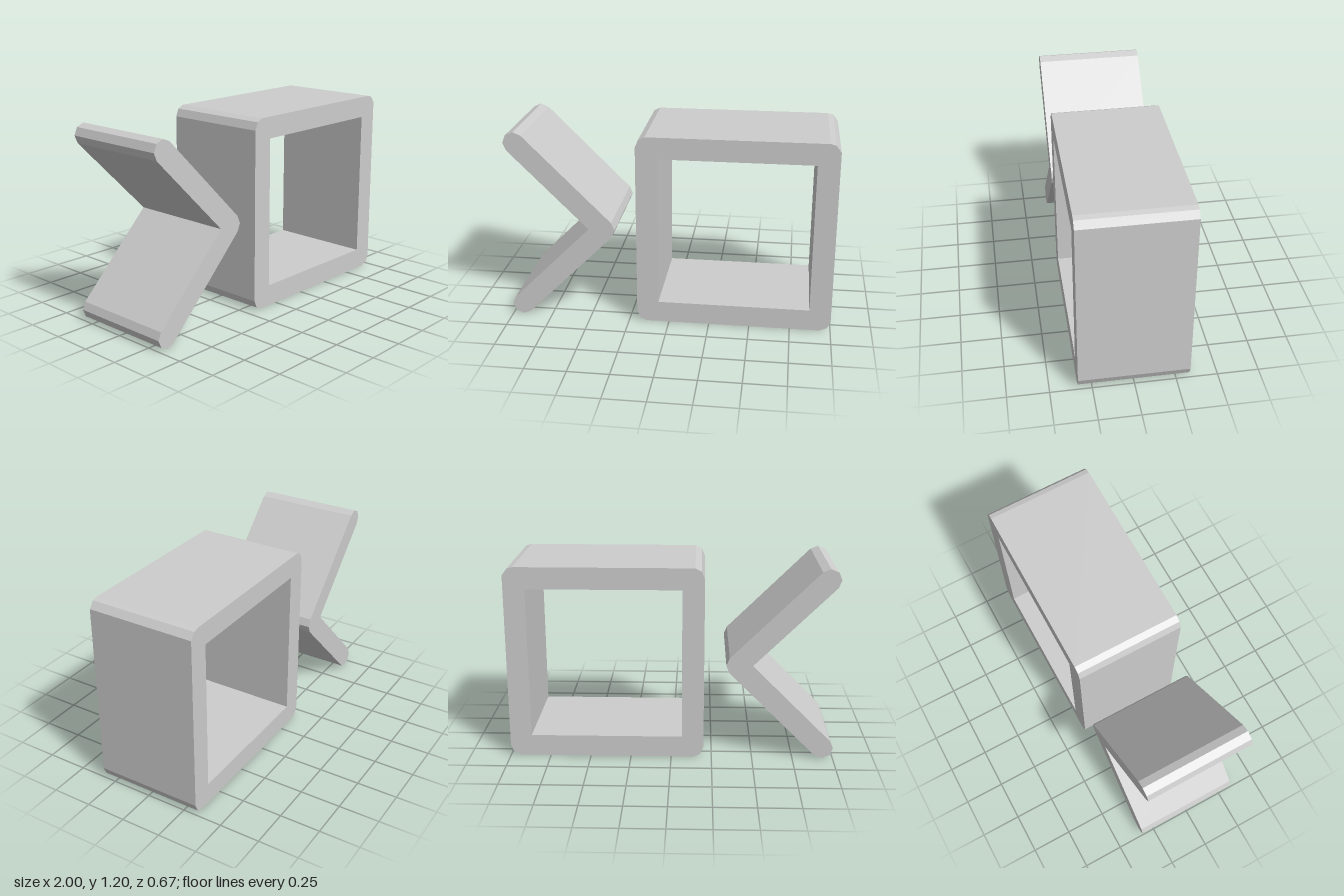
import * as THREE from 'three';

const R = 1 / 15;      // half the bar thickness, also the corner radius
const DEPTH = 2 / 3;

// Points on a corner circle at the given angles in degrees
function corner(cx, cy, angles) {
  return angles.map((deg) => {
    const a = THREE.MathUtils.degToRad(deg);
    return new THREE.Vector2(cx + R * Math.cos(a), cy + R * Math.sin(a));
  });
}

function extrude(name, shape, material) {
  const geometry = new THREE.ExtrudeGeometry(shape, { depth: DEPTH, bevelEnabled: false });
  geometry.translate(0, 0, -DEPTH / 2);
  const mesh = new THREE.Mesh(geometry, material);
  mesh.name = name;
  return mesh;
}

export function createModel() {
  const group = new THREE.Group();
  group.name = 'chevronAndSquare';
  const grey = new THREE.MeshStandardMaterial({ color: 0xcccccc });
  grey.name = 'light grey';

  const low = R, high = 1.2 - R;

  // Chevron: two diagonal bars with faceted round ends, meeting at the right
  const chevron = new THREE.Shape([
    ...corner(-0.4, 0.6, [-45, 0, 45]),
    ...corner(-1 + R, high, [45, 90, 135, 180, 225]),
    new THREE.Vector2(-0.4 - R * Math.SQRT2, 0.6),
    ...corner(-1 + R, low, [135, 180, 225, 270, 315]),
  ]);
  group.add(extrude('chevron', chevron, grey));

  // Square tube: faceted outer corners, sharp inner opening
  const left = -0.2 + R, right = 1 - R;
  const frame = new THREE.Shape([
    ...corner(right, low, [-90, -45, 0]),
    ...corner(right, high, [15, 60, 90]),
    ...corner(left, high, [98, 135, 180]),
    ...corner(left, low, [180, 225, 262]),
  ]);
  const t = R; // opening inset from the corner centres
  frame.holes.push(new THREE.Path([
    new THREE.Vector2(left + t, low + t),
    new THREE.Vector2(left + t, high - t),
    new THREE.Vector2(right - t, high - t),
    new THREE.Vector2(right - t, low + t),
  ]));
  group.add(extrude('squareFrame', frame, grey));

  return group;
}
